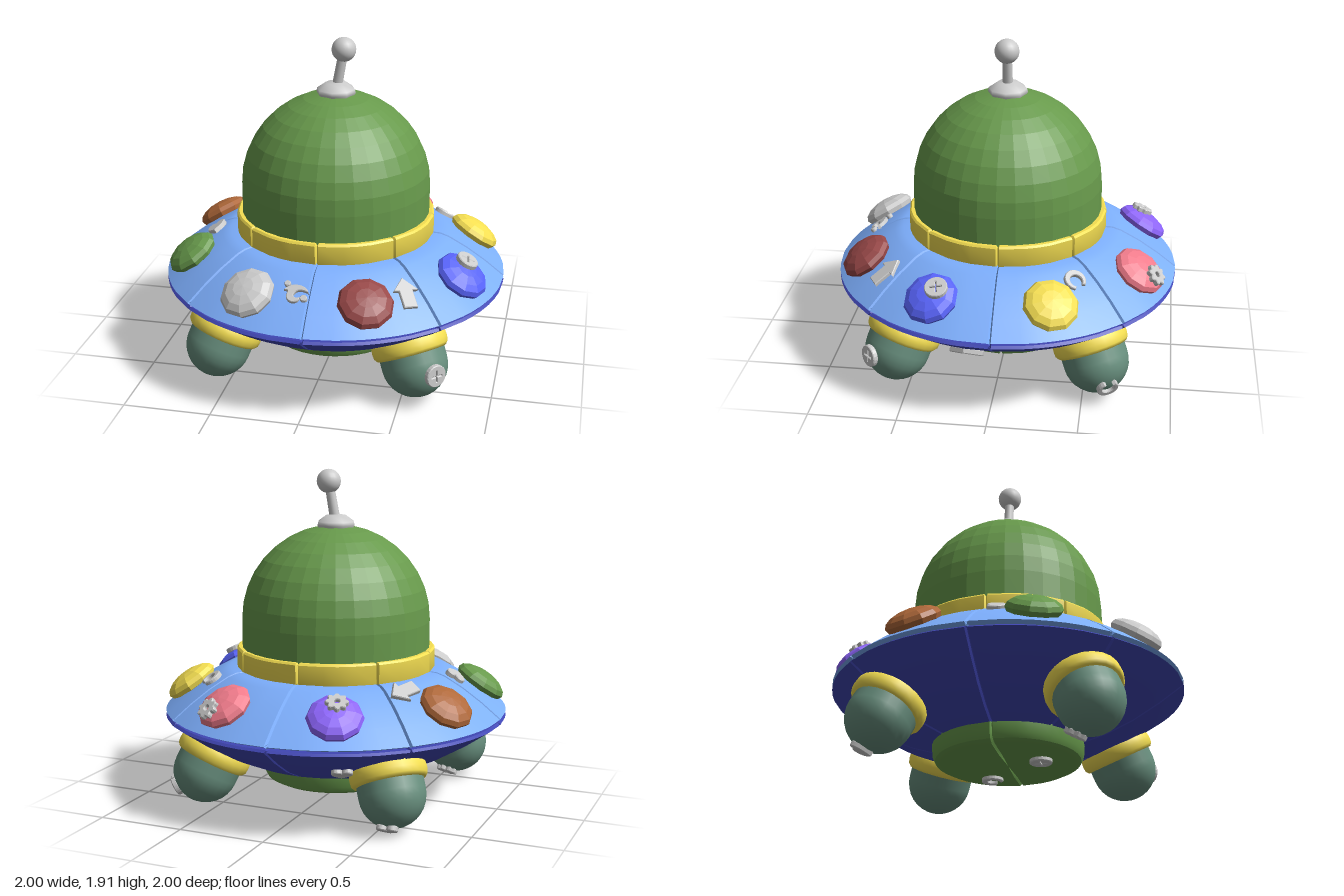
import * as THREE from 'three';
import { toCreasedNormals } from 'three/addons/utils/BufferGeometryUtils.js';

const V2 = (x, y) => new THREE.Vector2(x, y);
const V3 = (x, y, z) => new THREE.Vector3(x, y, z);
const UP = V3(0, 1, 0);
const GREEN = 0x689a4c, YELLOW = 0xf5df52, GREY = 0xcccccc;
const mat = (color, flatShading = false, side = THREE.FrontSide) =>
  new THREE.MeshStandardMaterial({ color, flatShading, side });

function add(parent, name, geometry, material) {
  const mesh = new THREE.Mesh(geometry, material);
  mesh.name = name;
  parent.add(mesh);
  return mesh;
}

// Turned shell divided into panels by narrow V grooves
function grooved(profile, panels, steps, depth, start) {
  const pts = profile.map(([x, y]) => V2(x, y)), n = pts.length;
  const geo = new THREE.LatheGeometry(pts, panels * steps);
  const pos = geo.attributes.position, width = (2 * Math.PI) / panels;
  for (let v = 0; v < pos.count; v++) {
    const i = Math.floor(v / n), j = v % n, k = i % steps;
    let { x: r, y } = pts[j];
    let phi = (i / steps) * width;
    const gap = 0.009 / Math.max(r, 0.05);
    if (k === 1) phi = ((i - 1) / steps) * width + gap;
    if (k === steps - 1) phi = ((i + 1) / steps) * width - gap;
    if (k === 0) {
      const t = pts[Math.min(j + 1, n - 1)].clone().sub(pts[Math.max(j - 1, 0)]).normalize();
      r = Math.max(0, r - t.y * depth);
      y += t.x * depth;
    }
    pos.setXYZ(v, r * Math.sin(phi + start), y, r * Math.cos(phi + start));
  }
  geo.computeVertexNormals();
  return toCreasedNormals(geo, 0.5);
}

// Places an object with its z axis on a normal and its y axis near "up"
function orient(obj, pos, normal, up, spin = 0) {
  const z = normal.clone().normalize();
  const x = up.clone().cross(z).normalize();
  obj.quaternion.setFromRotationMatrix(new THREE.Matrix4().makeBasis(x, z.clone().cross(x), z));
  obj.position.copy(pos);
  obj.rotateZ(spin);
}

// Flat outlines of the badges
function ring(shape, r) {
  shape.holes.push(new THREE.Path().absarc(0, 0, r, 0, 2 * Math.PI, true));
  return shape;
}
function heartShape() {
  const s = new THREE.Shape();
  s.moveTo(0, -0.06);
  s.bezierCurveTo(-0.03, -0.035, -0.06, -0.01, -0.055, 0.025);
  s.bezierCurveTo(-0.05, 0.065, -0.01, 0.06, 0, 0.03);
  s.bezierCurveTo(0.01, 0.06, 0.05, 0.065, 0.055, 0.025);
  s.bezierCurveTo(0.06, -0.01, 0.03, -0.035, 0, -0.06);
  return s;
}
function flowerShape() {
  const pts = [];
  for (let i = 0; i < 48; i++) {
    const a = (i / 48) * 2 * Math.PI, r = 0.052 + 0.008 * Math.cos(8 * a);
    pts.push(V2(r * Math.cos(a), r * Math.sin(a)));
  }
  return ring(new THREE.Shape(pts), 0.02);
}
function crescentShape() {
  const s = new THREE.Shape();
  s.absarc(0, 0, 0.058, 2.2, 0.94 + 2 * Math.PI, false);
  s.absarc(0, 0.008, 0.04, 0.94 + 2 * Math.PI, 2.2, true);
  return s;
}
function crossShape() {
  const s = new THREE.Shape().absarc(0, 0, 0.06, 0, 2 * Math.PI, false);
  const a = 0.007, b = 0.037;
  const plus = [[a, a], [a, b], [-a, b], [-a, a], [-b, a], [-b, -a], [-a, -a], [-a, -b], [a, -b], [a, -a], [b, -a], [b, a]];
  s.holes.push(new THREE.Path(plus.map(([x, y]) => V2(x, y))));
  return s;
}
function swirlShapes() {
  const s = new THREE.Shape();
  s.moveTo(-0.06, 0.02);
  s.bezierCurveTo(-0.03, 0.07, 0.05, 0.06, 0.07, 0.02);
  s.bezierCurveTo(0.03, 0.035, 0, 0.03, -0.01, -0.005);
  s.bezierCurveTo(-0.005, -0.03, 0.02, -0.03, 0.03, -0.02);
  s.bezierCurveTo(0.03, -0.06, -0.04, -0.06, -0.04, -0.01);
  s.bezierCurveTo(-0.04, 0.01, -0.03, 0.02, -0.06, 0.02);
  const dot = (x, y, r) => new THREE.Shape().absarc(x, y, r, 0, 2 * Math.PI, false);
  return [s, dot(0.055, -0.02, 0.016), dot(-0.055, 0.06, 0.014)];
}
const arrow = [[0, 0.095], [0.068, 0.02], [0.036, 0.02], [0.036, -0.085], [-0.036, -0.085], [-0.036, 0.02], [-0.068, 0.02]];
const badges = {
  arrow: new THREE.Shape(arrow.map(([x, y]) => V2(x, y))),
  heart: heartShape(), flower: flowerShape(), crescent: crescentShape(),
  cross: crossShape(), swirl: swirlShapes(),
};
function badge(parent, kind, pos, normal, up, spin = 0) {
  const geo = new THREE.ExtrudeGeometry(badges[kind], {
    depth: 0.022, curveSegments: 10, bevelThickness: 0.005, bevelSize: 0.004, bevelSegments: 1,
  });
  geo.translate(0, 0, -0.006);
  orient(add(parent, kind + 'Badge', geo, mat(GREY)), pos, normal, up, spin);
}

export function createModel() {
  const model = new THREE.Group();
  model.name = 'flyingSaucer';

  // Hull halves, collar and belly plate
  const upper = [[0.54, 0.545], [0.975, 0.534], [1, 0.545], [0.89, 0.632], [0.78, 0.707], [0.67, 0.768], [0.62, 0.785], [0.54, 0.79]];
  const lower = [[0.38, 0.21], [0.43, 0.217], [0.56, 0.257], [0.71, 0.325], [0.86, 0.415], [1, 0.513], [0.985, 0.525], [0.54, 0.525]];
  const collar = [[0.53, 0.775], [0.575, 0.78], [0.58, 0.79], [0.58, 0.895], [0.57, 0.906], [0.53, 0.906]];
  const belly = [[0, 0.108], [0.2, 0.108], [0.37, 0.11], [0.41, 0.13], [0.425, 0.16], [0.43, 0.225], [0.36, 0.25]];
  add(model, 'upperHull', grooved(upper, 8, 9, 0.018, 0.02), mat(0x7eb0ff));
  add(model, 'lowerHull', grooved(lower, 8, 9, 0.015, 0.02), mat(0x4046b4));
  add(model, 'collar', grooved(collar, 8, 6, 0.015, 0.02), mat(YELLOW));
  add(model, 'bellyPlate', grooved(belly, 2, 20, 0.018, Math.PI / 2 + 0.02), mat(GREEN));

  // Dome
  const dome = [V2(0.55, 0.86), V2(0.55, 1.06)];
  for (let i = 1; i <= 9; i++) {
    const a = (i / 9) * Math.PI / 2;
    dome.push(V2(0.55 * Math.cos(a), 1.06 + 0.55 * Math.sin(a)));
  }
  add(model, 'dome', new THREE.LatheGeometry(dome, 32), mat(GREEN, true));

  // Antenna
  const foot = [V2(0.1, 1.585), V2(0.115, 1.61), V2(0.11, 1.63), V2(0.06, 1.665), V2(0, 1.675)];
  add(model, 'antennaFoot', new THREE.LatheGeometry(foot, 8), mat(GREY));
  const tip = V3(0.045, 1.86, 0), base = V3(0.005, 1.64, 0);
  const rod = add(model, 'antennaRod', new THREE.CylinderGeometry(0.027, 0.03, tip.distanceTo(base), 12), mat(GREY));
  rod.position.copy(tip).add(base).multiplyScalar(0.5);
  rod.quaternion.setFromUnitVectors(UP, tip.clone().sub(base).normalize());
  add(model, 'antennaBall', new THREE.SphereGeometry(0.07, 20, 14), mat(GREY)).position.copy(tip);

  // Lights around the upper hull, some carrying a badge at (u, v)
  const lights = [
    [0x984848], [0x5a66ff, 'cross', 0.04, 0.037, 0.5], [YELLOW], [0xf27c8c, 'flower', -0.01, -0.085],
    [0x8f66ff, 'flower', 0.01, 0.045], [0xb0693a], [GREEN], [GREY],
  ];
  const slopeNormal = (x, z) => V3(x, 0, z).normalize().multiplyScalar(0.56).add(V3(0, 0.83, 0));
  lights.forEach(([color, kind, u, v, spin], i) => {
    const a = (i + 0.5) * Math.PI / 4, x = Math.sin(a), z = Math.cos(a);
    const light = new THREE.Group();
    light.name = 'light';
    orient(light, V3(0.855 * x, 0.682, 0.855 * z), slopeNormal(x, z), V3(-x, 0, -z));
    model.add(light);
    const geo = new THREE.SphereGeometry(1, 10, 8).rotateX(Math.PI / 2).scale(0.157, 0.157, 0.068);
    add(light, 'lightLens', geo, mat(color, true));
    if (kind) {
      const w = 0.068 * Math.sqrt(1 - (u * u + v * v) / 0.157 ** 2);
      const normal = V3(u / 0.157 ** 2, v / 0.157 ** 2, w / 0.068 ** 2);
      badge(light, kind, V3(u, v, w), normal, UP, spin);
    }
  });

  // Badges on the upper hull
  const topBadges = [
    ['arrow', -0.57, -0.4, 1.8], ['arrow', 0.52, 0.63, -0.15], ['crescent', 0.59, -0.44, -3],
    ['heart', -0.7, 0.11, 1.6], ['swirl', -0.06, 0.79, 0],
  ];
  for (const [kind, x, z, spin] of topBadges) {
    const y = 0.782 - (Math.hypot(x, z) - 0.66) * 0.66;
    badge(model, kind, V3(x, y, z), slopeNormal(x, z), V3(-x, 0, -z), spin);
  }

  // Badges on the lower hull and belly
  badge(model, 'arrow', V3(0.775, 0.362, 0.13), V3(0.5, -0.86, 0.08), UP, 1.4);
  badge(model, 'heart', V3(-0.33, 0.362, -0.7), V3(-0.21, -0.86, -0.45), UP);
  badge(model, 'cross', V3(-0.06, 0.108, 0.2), V3(0, -1, 0), V3(0, 0, 1));
  badge(model, 'crescent', V3(0.2, 0.108, -0.14), V3(0, -1, 0), V3(1, 0, 1));

  // Four pods with yellow cuffs, each with a badge
  const pod = [];
  for (let i = 0; i <= 8; i++) {
    const a = (i / 8) * Math.PI / 2;
    pod.push(V2(0.187 * Math.sin(a), -0.187 * Math.cos(a)));
  }
  pod.push(V2(0.187, 0.17));
  const cuff = [[0.17, 0.06], [0.2, 0.062], [0.214, 0.08], [0.217, 0.11], [0.214, 0.14], [0.2, 0.16], [0.15, 0.168]].map(([x, y]) => V2(x, y));
  const pods = [
    [1, 1, 'cross', V3(0.7, 0.06, 0.7)], [1, -1, 'crescent', V3(0.8, -0.45, -0.4)],
    [-1, -1, 'heart', V3(-0.05, -0.87, -0.45)], [-1, 1, 'flower', V3(0.14, -0.86, -0.45)],
  ];
  for (const [sx, sz, kind, dir] of pods) {
    const leg = new THREE.Group();
    leg.name = 'pod';
    leg.position.set(0.57 * sx, 0.23, 0.57 * sz);
    model.add(leg);
    const body = new THREE.Group();
    body.name = 'podBody';
    body.quaternion.setFromUnitVectors(UP, V3(-0.34 * sx, 0.875, -0.34 * sz).normalize());
    leg.add(body);
    add(body, 'podShell', new THREE.LatheGeometry(pod, 24), mat(0x688f7e));
    add(body, 'podCuff', new THREE.LatheGeometry(cuff, 24), mat(YELLOW));
    dir.normalize();
    badge(leg, kind, dir.clone().multiplyScalar(0.183), dir, UP);
  }
  return model;
}
